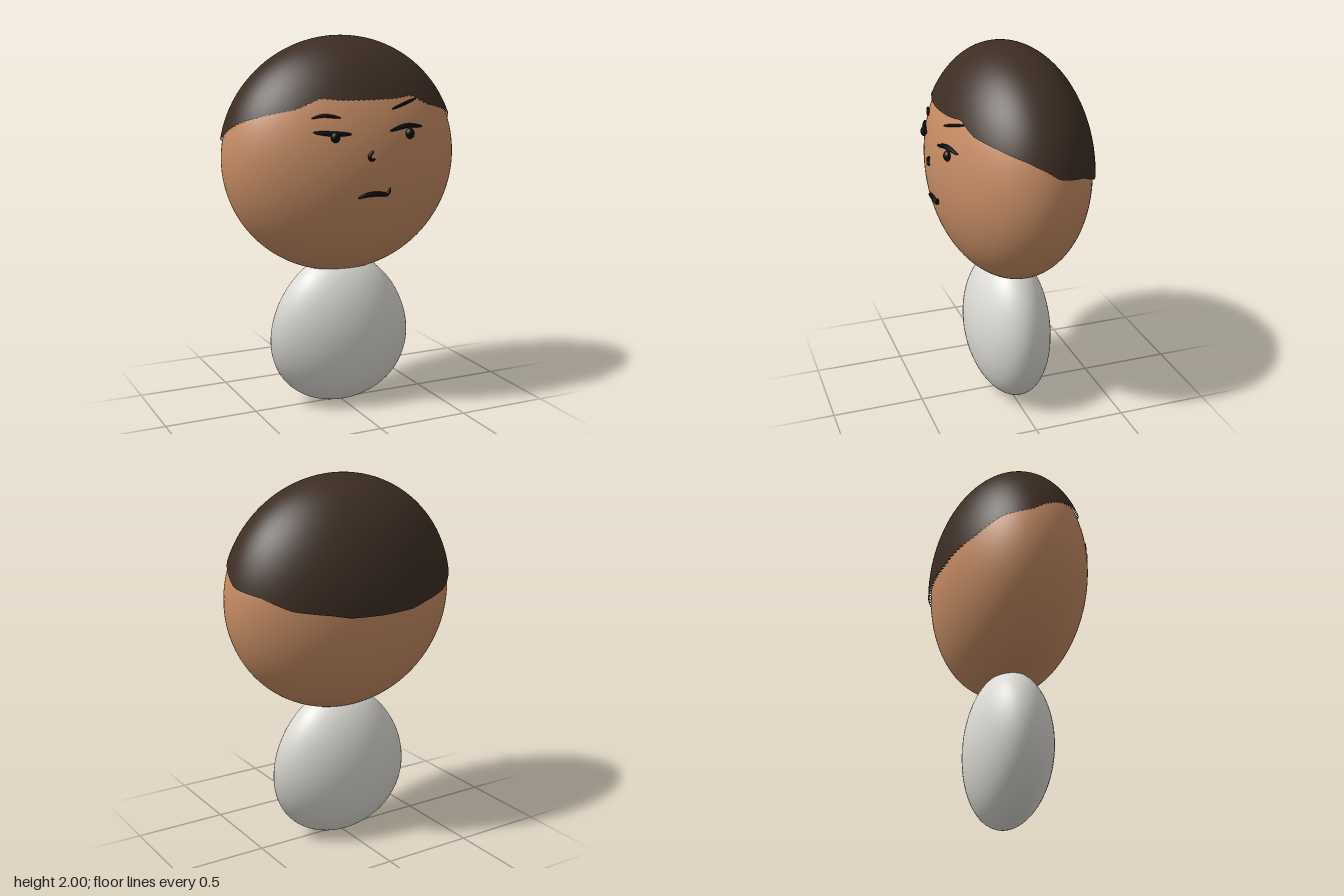
import * as THREE from 'three';

const mat = (name, color) => {
  const m = new THREE.MeshStandardMaterial({ color });
  m.name = name;
  return m;
};

const HEAD = { y: 1.366, rx: 0.652, ry: 0.619, rz: 0.41 };
const HAIR = 0.015; // hair thickness

// Depth of the face surface at a point seen from the front
const faceZ = (x, y) =>
  HEAD.rz * Math.sqrt(1 - (x / HEAD.rx) ** 2 - ((y - HEAD.y) / HEAD.ry) ** 2);

// Hairline: [angle from the front, height], mirrored on both sides
const HAIRLINE = [
  [0, 1.69], [0.28, 1.692], [0.47, 1.703], [0.68, 1.65], [0.97, 1.62], [1.3, 1.575],
  [1.4, 1.555], [1.52, 1.53], [1.69, 1.482], [1.89, 1.465], [2.07, 1.45],
  [2.37, 1.388], [2.7, 1.36], [2.85, 1.34], [3.15, 1.335],
];

function hairlineHeight(angle) {
  const a = Math.abs(angle);
  const i = Math.max(1, HAIRLINE.findIndex(([t]) => t >= a));
  const [a0, y0] = HAIRLINE[i - 1], [a1, y1] = HAIRLINE[i];
  return y0 + ((y1 - y0) * (a - a0)) / (a1 - a0);
}

// Cap of hair: a sphere whose rows are squeezed to end at the hairline
function hairGeometry() {
  const rows = 32;
  const geo = new THREE.SphereGeometry(1, 128, rows);
  const { position: pos, normal: nor, uv } = geo.attributes;
  const n = new THREE.Vector3();
  for (let i = 0; i < pos.count; i++) {
    const row = Math.floor(i / 129);
    const u = (i % 129) / 128 * Math.PI * 2;
    const dx = -Math.cos(u), dz = Math.sin(u);
    const edge = Math.acos((hairlineHeight(Math.atan2(dx, dz)) - HEAD.y) / (HEAD.ry + HAIR));
    const phi = edge * Math.min(1, row / (rows - 1));
    const t = row === rows ? -0.004 : HAIR; // last row folds in to the scalp
    const rx = HEAD.rx + t * 0.7, ry = HEAD.ry + t, rz = HEAD.rz + t;
    const s = Math.sin(phi), c = Math.cos(phi);
    pos.setXYZ(i, rx * s * dx, ry * c, rz * s * dz);
    n.set((s * dx) / rx, c / ry, (s * dz) / rz).normalize();
    nor.setXYZ(i, n.x, n.y, n.z);
  }
  // The sphere leaves its last row as a fan, so fill in the other half of that strip
  const index = Array.from(geo.index.array);
  for (let k = 0; k < 128; k++) {
    const a = (rows - 1) * 129 + k + 1, b = a - 1, d = rows * 129 + k + 1;
    index.push(a, b, d);
  }
  geo.setIndex(index);
  uv.needsUpdate = true;
  return geo;
}

// Brush stroke lying on the face, tapered at both ends
function strokeGeometry(points, radius) {
  const curve = new THREE.CatmullRomCurve3(
    new THREE.CatmullRomCurve3(points.map(([x, y]) => new THREE.Vector3(x, y, 0)))
      .getPoints(16)
      .map((p) => p.setZ(faceZ(p.x, p.y) + 0.006))
  );
  const geo = new THREE.TubeGeometry(curve, 32, radius, 10);
  const { position: pos, uv } = geo.attributes;
  const v = new THREE.Vector3();
  for (let i = 0; i < pos.count; i++) {
    const u = uv.getX(i);
    const k = Math.max(0.03, Math.pow(Math.max(0, Math.sin(Math.PI * u)), 0.45));
    v.fromBufferAttribute(pos, i).lerp(curve.getPointAt(u), 1 - k);
    pos.setXYZ(i, v.x, v.y, v.z);
  }
  return geo;
}

export function createModel() {
  const model = new THREE.Group();
  const skin = mat('skin', 0xc68c64);
  const hair = mat('hair', 0x3d2d23);
  const cloth = mat('white', 0xdddbd5);
  const ink = mat('black', 0x0a0a0a);

  const add = (name, geo, material, x = 0, y = 0, z = 0) => {
    const mesh = new THREE.Mesh(geo, material);
    mesh.name = name;
    mesh.position.set(x, y, z);
    model.add(mesh);
    return mesh;
  };

  // Body: flattened egg, wider towards the bottom
  const body = new THREE.SphereGeometry(1, 64, 48);
  const p = body.attributes.position, bn = body.attributes.normal;
  for (let i = 0; i < p.count; i++) {
    const x = p.getX(i), y = p.getY(i), z = p.getZ(i);
    const w = 0.397 * (1 - 0.135 * y);
    p.setXYZ(i, x * w, y * 0.415, z * 0.222);
    const n = new THREE.Vector3(x / w, (y + (0.135 * x * x) / (1 - 0.135 * y) * -1) / 0.415, z / 0.222).normalize();
    bn.setXYZ(i, n.x, n.y, n.z);
  }
  add('body', body, cloth, 0, 0.418, 0);

  // Head and hair
  add('head', new THREE.SphereGeometry(1, 96, 64), skin, 0, HEAD.y, 0)
    .scale.set(HEAD.rx, HEAD.ry, HEAD.rz);
  add('hair', hairGeometry(), hair, 0, HEAD.y, 0);

  // Pupils
  for (const [name, x] of [['rightPupil', -0.203], ['leftPupil', 0.215]]) {
    add(name, new THREE.SphereGeometry(1, 24, 16), ink, x, 1.511, faceZ(x, 1.511) + 0.006)
      .scale.set(0.024, 0.027, 0.02);
  }

  // Eyelids, brows, nose and mouth
  const strokes = {
    rightEyelid: [0.013, [[-0.308, 1.537], [-0.21, 1.528], [-0.118, 1.524]]],
    leftEyelid: [0.012, [[0.092, 1.53], [0.195, 1.551], [0.302, 1.542]]],
    rightBrow: [0.009, [[-0.31, 1.604], [-0.25, 1.616], [-0.165, 1.604]]],
    leftBrow: [0.008, [[0.114, 1.636], [0.2, 1.66], [0.29, 1.683]]],
    nose: [0.009, [[-0.006, 1.44], [-0.03, 1.412], [-0.022, 1.393], [0.003, 1.398]]],
    mouth: [0.013, [[-0.086, 1.201], [-0.03, 1.216], [0.03, 1.217], [0.078, 1.212], [0.097, 1.245]]],
  };
  for (const [name, [radius, points]] of Object.entries(strokes)) {
    add(name, strokeGeometry(points, radius), ink);
  }
  return model;
}
